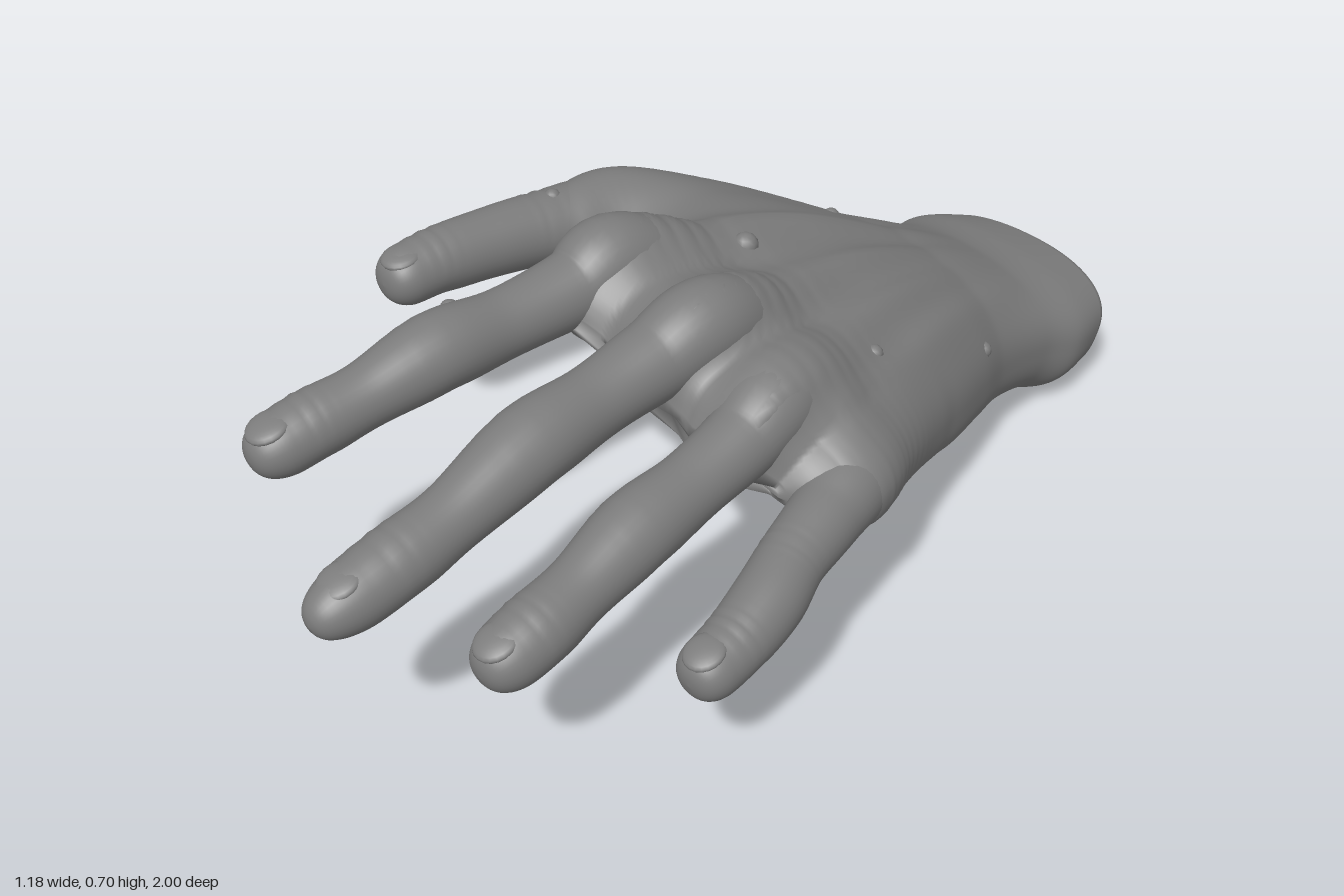
import * as THREE from 'three';

// Catmull-Rom blend of every column in a table of rows, t in 0..1
function sampleRows(rows, t) {
  const f = t * (rows.length - 1), i = Math.min(Math.floor(f), rows.length - 2), s = f - i;
  const at = k => rows[Math.max(0, Math.min(rows.length - 1, k))];
  return rows[0].map((_, c) => {
    const a = at(i - 1)[c], b = at(i)[c], d = at(i + 1)[c], e = at(i + 2)[c];
    return b + 0.5 * s * (d - a + s * (2 * a - 5 * b + 4 * d - e + s * (3 * (b - d) + e - a)));
  });
}

// Smooth closed skin through a list of rings, fanned shut at both ends
function loft(rings) {
  const n = rings[0].length, pos = [], idx = [];
  rings.forEach(r => r.forEach(p => pos.push(p.x, p.y, p.z)));
  for (let i = 0; i < rings.length - 1; i++) {
    for (let j = 0; j < n; j++) {
      const a = i * n + j, b = i * n + (j + 1) % n;
      idx.push(a, b, a + n, b, b + n, a + n);
    }
  }
  [0, rings.length - 1].forEach((k, end) => {
    const c = new THREE.Vector3();
    rings[k].forEach(p => c.addScaledVector(p, 1 / n));
    const ci = pos.length / 3;
    pos.push(c.x, c.y, c.z);
    for (let j = 0; j < n; j++) {
      const a = k * n + j, b = k * n + (j + 1) % n;
      if (end) idx.push(a, b, ci); else idx.push(b, a, ci);
    }
  });
  const g = new THREE.BufferGeometry();
  g.setAttribute('position', new THREE.Float32BufferAttribute(pos, 3));
  g.setIndex(idx);
  g.computeVertexNormals();
  return g;
}

const bump = (d, w) => Math.exp(-(d * d) / (w * w));

// Wrist and palm stations: z, thumb edge x y, little-finger edge x y, rise, drop
const PALM = [
  [-0.93, -0.29, 0.15, 0.205, 0.14, 0.12, 0.14],
  [-0.85, -0.31, 0.17, 0.22, 0.15, 0.13, 0.153],
  [-0.75, -0.285, 0.20, 0.21, 0.18, 0.13, 0.153],
  [-0.62, -0.305, 0.25, 0.225, 0.21, 0.16, 0.153],
  [-0.50, -0.37, 0.30, 0.27, 0.24, 0.18, 0.155],
  [-0.35, -0.45, 0.37, 0.325, 0.27, 0.20, 0.16],
  [-0.20, -0.53, 0.44, 0.37, 0.31, 0.205, 0.15],
  [-0.09, -0.51, 0.46, 0.40, 0.34, 0.195, 0.125],
  [0.00, -0.37, 0.50, 0.43, 0.36, 0.18, 0.09],
  [0.10, -0.21, 0.55, 0.43, 0.36, 0.14, 0.07],
  [0.18, -0.17, 0.55, 0.40, 0.38, 0.09, 0.05],
  [0.22, -0.11, 0.54, 0.36, 0.39, 0.03, 0.02],
];

// Digits: x, y, z, radius from the buried root to the tip
const DIGITS = {
  thumb: [[-0.2, 0.27, -0.62, 0.04], [-0.385, 0.37, -0.38, 0.09], [-0.48, 0.445, -0.15, 0.094],
    [-0.508, 0.477, 0.0, 0.077], [-0.52, 0.492, 0.13, 0.07], [-0.525, 0.5, 0.26, 0.066], [-0.523, 0.498, 0.375, 0.056]],
  indexFinger: [[-0.11, 0.46, -0.2, 0.05], [-0.155, 0.61, 0.08, 0.085], [-0.16, 0.59, 0.2, 0.073],
    [-0.165, 0.582, 0.36, 0.066], [-0.165, 0.588, 0.51, 0.075], [-0.172, 0.565, 0.66, 0.06],
    [-0.18, 0.55, 0.77, 0.064], [-0.185, 0.533, 0.89, 0.056]],
  middleFinger: [[0.05, 0.43, -0.2, 0.05], [0.09, 0.585, 0.07, 0.085], [0.085, 0.562, 0.22, 0.076],
    [0.09, 0.545, 0.36, 0.068], [0.105, 0.535, 0.52, 0.077], [0.125, 0.495, 0.7, 0.062],
    [0.135, 0.472, 0.83, 0.066], [0.14, 0.443, 1.0, 0.056]],
  ringFinger: [[0.19, 0.37, -0.2, 0.05], [0.255, 0.5, 0.06, 0.085], [0.28, 0.475, 0.19, 0.071],
    [0.295, 0.455, 0.32, 0.065], [0.31, 0.44, 0.46, 0.073], [0.33, 0.41, 0.6, 0.061],
    [0.345, 0.39, 0.71, 0.066], [0.35, 0.367, 0.825, 0.056]],
  littleFinger: [[0.27, 0.31, -0.22, 0.05], [0.385, 0.37, 0.0, 0.08], [0.435, 0.365, 0.13, 0.069],
    [0.467, 0.35, 0.24, 0.063], [0.5, 0.33, 0.33, 0.065], [0.522, 0.308, 0.43, 0.06], [0.533, 0.292, 0.54, 0.053]],
};

// Swell the palm skin over the roots of the digits so that they flow out of it
function blendOver(geometry, width, limit) {
  const spine = Object.values(DIGITS).flatMap(rows => Array.from({ length: 60 }, (_, i) => sampleRows(rows, i / 59)));
  const pos = geometry.attributes.position, nor = geometry.attributes.normal;
  const p = new THREE.Vector3(), n = new THREE.Vector3();
  for (let i = 0; i < pos.count; i++) {
    p.fromBufferAttribute(pos, i);
    n.fromBufferAttribute(nor, i);
    let gap = Infinity;
    for (const [x, y, z, r] of spine) gap = Math.min(gap, Math.hypot(p.x - x, p.y - y, p.z - z) - r);
    const h = Math.max(0, 1 - Math.abs(gap) / width);
    p.addScaledVector(n, Math.min(limit, Math.max(0, -gap) + h * h * width * 0.25));
    pos.setXYZ(i, p.x, p.y, p.z);
  }
  geometry.computeVertexNormals();
  return geometry;
}

function palmGeometry() {
  const SEG = 140, STEPS = 120, rings = [];
  for (let i = 0; i <= STEPS; i++) {
    const [z, xl, yl, xr, yr, rise, drop] = sampleRows(PALM, i / STEPS);
    const ring = [];
    for (let j = 0; j < SEG; j++) {
      const a = (j / SEG) * Math.PI * 2, s = Math.sin(a), c = Math.cos(a);
      const u = 0.5 + 0.5 * Math.sign(c) * Math.abs(c) ** 0.88;
      const x = xl + (xr - xl) * u, lift = Math.abs(s) ** 0.78;
      let y = yl + (yr - yl) * u + (s > 0 ? rise : -drop) * lift;
      if (s > 0) {
        // Tendons fanning out from the wrist to each knuckle
        const k = THREE.MathUtils.clamp((z + 0.75) / 0.8, 0, 1);
        [-0.155, 0.09, 0.255, 0.39].forEach((kx, n) => {
          const line = THREE.MathUtils.lerp(-0.07 + n * 0.06, kx, k);
          y += 0.024 * lift * Math.sin(Math.PI * Math.min(k, 0.8)) * bump(x - line, 0.038);
        });
        // Hollow between thumb and index finger
        y -= 0.1 * lift * bump(x + 0.35, 0.13) * bump(z + 0.06, 0.17);
        y -= 0.018 * lift * bump(z + 0.1, 0.2);
      } else {
        // Cupped palm and the pad below the little finger
        y += 0.05 * lift * bump(x + 0.03, 0.16) * bump(z + 0.06, 0.2);
        y -= 0.02 * lift * bump(x - 0.2, 0.12) * bump(z + 0.4, 0.2);
      }
      // Slanted wrist end, and webs that step back toward the little finger
      const wrist = THREE.MathUtils.clamp((-0.6 - z) / 0.33, 0, 1);
      const back = z > 0 ? 0.4 * Math.max(0, x - 0.2) * Math.min(1, z / 0.15) : 0;
      ring.push(new THREE.Vector3(x, y, z - wrist * (0.48 * (y - 0.14) + 0.06 * x) - back));
    }
    rings.push(ring);
  }
  // Rounded rim and flat cut of the wrist
  const first = rings[0], mid = new THREE.Vector3();
  first.forEach(p => mid.addScaledVector(p, 1 / SEG));
  [[0.985, 0.012], [0.955, 0.021], [0.9, 0.025], [0.5, 0.025]].forEach(([k, d]) => {
    rings.unshift(first.map(p => p.clone().sub(mid).multiplyScalar(k).add(mid).add(new THREE.Vector3(0, -d * 0.3, -d * 0.8))));
  });
  return blendOver(loft(rings), 0.09, 0.075);
}

function digitGeometry(rows) {
  const SEG = 32, STEPS = 72, rings = [], round = 0.09;
  const joints = [rows.length - 2, rows.length > 7 ? 4 : 3];
  const at = t => new THREE.Vector3(...sampleRows(rows, t).slice(0, 3));
  for (let i = 0; i <= STEPS; i++) {
    // Rings crowd toward the tip so that it closes as a dome
    const t = 1 - (1 - i / STEPS) ** 1.35;
    const p = at(t), dir = at(Math.min(1, t + 0.01)).sub(at(Math.max(0, t - 0.01))).normalize();
    const side = new THREE.Vector3(0, 1, 0).cross(dir).normalize(), up = dir.clone().cross(side);
    const q = Math.max(0, (t - 1 + round) / round);
    const r = sampleRows(rows, t)[3] * Math.sqrt(Math.max(0.0004, 1 - q * q));
    const f = t * (rows.length - 1);
    const ring = [];
    for (let j = 0; j < SEG; j++) {
      const a = (j / SEG) * Math.PI * 2, s = Math.sin(a);
      // Skin folds over the joints, softer creases underneath
      let k = 1;
      joints.forEach(n => {
        k += (s > 0 ? 0.025 * s * Math.cos((f - n) * 28) : 0.05 * s) * bump(f - n, 0.28);
      });
      ring.push(p.clone().addScaledVector(side, Math.cos(a) * r * k).addScaledVector(up, s * r * k));
    }
    rings.push(ring);
  }
  return loft(rings);
}

export function createModel() {
  const group = new THREE.Group();
  const skin = new THREE.MeshStandardMaterial({ color: 0x7c7c7c });
  const add = (geometry, name) => {
    const mesh = new THREE.Mesh(geometry, skin);
    mesh.name = name;
    group.add(mesh);
    return mesh;
  };

  const body = [add(palmGeometry(), 'palmAndWrist')];
  for (const [name, rows] of Object.entries(DIGITS)) {
    body.push(add(digitGeometry(rows), name));
    // Fingernail lying on top of the last joint
    const tip = rows[rows.length - 1], prev = rows[rows.length - 2], r = tip[3];
    const a = new THREE.Vector3(...prev.slice(0, 3)), b = new THREE.Vector3(...tip.slice(0, 3));
    const nail = add(new THREE.SphereGeometry(1, 20, 12), name + 'Nail');
    nail.scale.set(r * 0.7, r * 0.24, r * 0.75);
    nail.position.copy(a).lerp(b, 0.52);
    nail.lookAt(b);
    nail.rotateX(0.16);
    nail.translateY(r * 0.83);
  }

  // Small moles sunk into the back of the hand
  group.updateMatrixWorld(true);
  const down = new THREE.Vector3(0, -1, 0);
  [[-0.23, -0.56], [0.24, -0.53], [-0.07, -0.16], [0.26, -0.18], [-0.505, -0.03], [-0.215, 0.44]].forEach(([x, z], i) => {
    const hit = new THREE.Raycaster(new THREE.Vector3(x, 2, z), down).intersectObjects(body)[0];
    if (!hit) return;
    const mole = add(new THREE.SphereGeometry(i === 2 ? 0.026 : 0.018, 12, 8), 'mole');
    mole.position.copy(hit.point).addScaledVector(hit.face.normal, -0.01);
  });
  return group;
}
